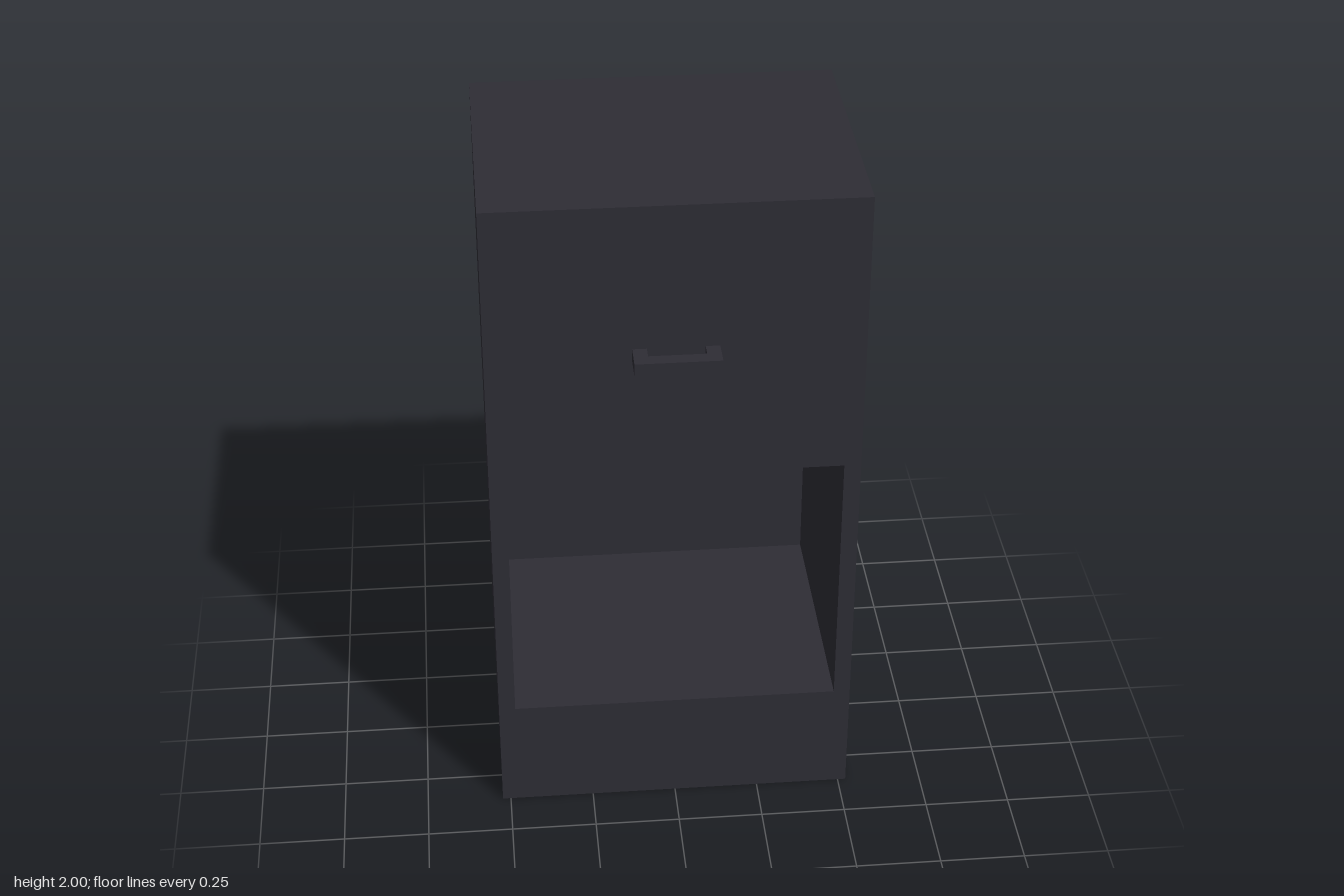
import * as THREE from 'three';

const W = 1.048, H = 2, FRONT = 0.36, BACK = -0.44, PANEL = 0.04;

function rectangle(path, x0, y0, x1, y1) {
  path.moveTo(x0, y0);
  path.lineTo(x1, y0);
  path.lineTo(x1, y1);
  path.lineTo(x0, y1);
  path.closePath();
  return path;
}

export function createModel() {
  const model = new THREE.Group();
  model.name = 'cabinet';
  const charcoal = new THREE.MeshStandardMaterial({ color: 0x2e2d35 });
  charcoal.name = 'charcoal';

  function add(parent, name, geometry, x, y, z) {
    const mesh = new THREE.Mesh(geometry, charcoal);
    mesh.name = name;
    mesh.position.set(x, y, z);
    parent.add(mesh);
  }

  // Cabinet body with the open compartment cut through its front
  const outline = rectangle(new THREE.Shape(), -W / 2, 0, W / 2, H);
  outline.holes.push(rectangle(new THREE.Path(), -0.476, 0.345, 0.476, 1.155));
  const depth = FRONT - BACK - PANEL;
  add(model, 'body', new THREE.ExtrudeGeometry(outline, { depth, bevelEnabled: false }), 0, 0, BACK + PANEL);

  // Back panel closing the compartment
  add(model, 'backPanel', new THREE.BoxGeometry(W, H, PANEL), 0, H / 2, BACK + PANEL / 2);

  // Square-section pull handle: a bar on two posts
  const handle = new THREE.Group();
  handle.name = 'handle';
  handle.position.set(0, 1.547, FRONT);
  model.add(handle);
  add(handle, 'handleBar', new THREE.BoxGeometry(0.24, 0.04, 0.04), 0, 0, 0.06);
  for (const side of [-1, 1]) {
    add(handle, side > 0 ? 'leftPost' : 'rightPost', new THREE.BoxGeometry(0.04, 0.04, 0.04), side * 0.1, 0, 0.02);
  }

  return model;
}
